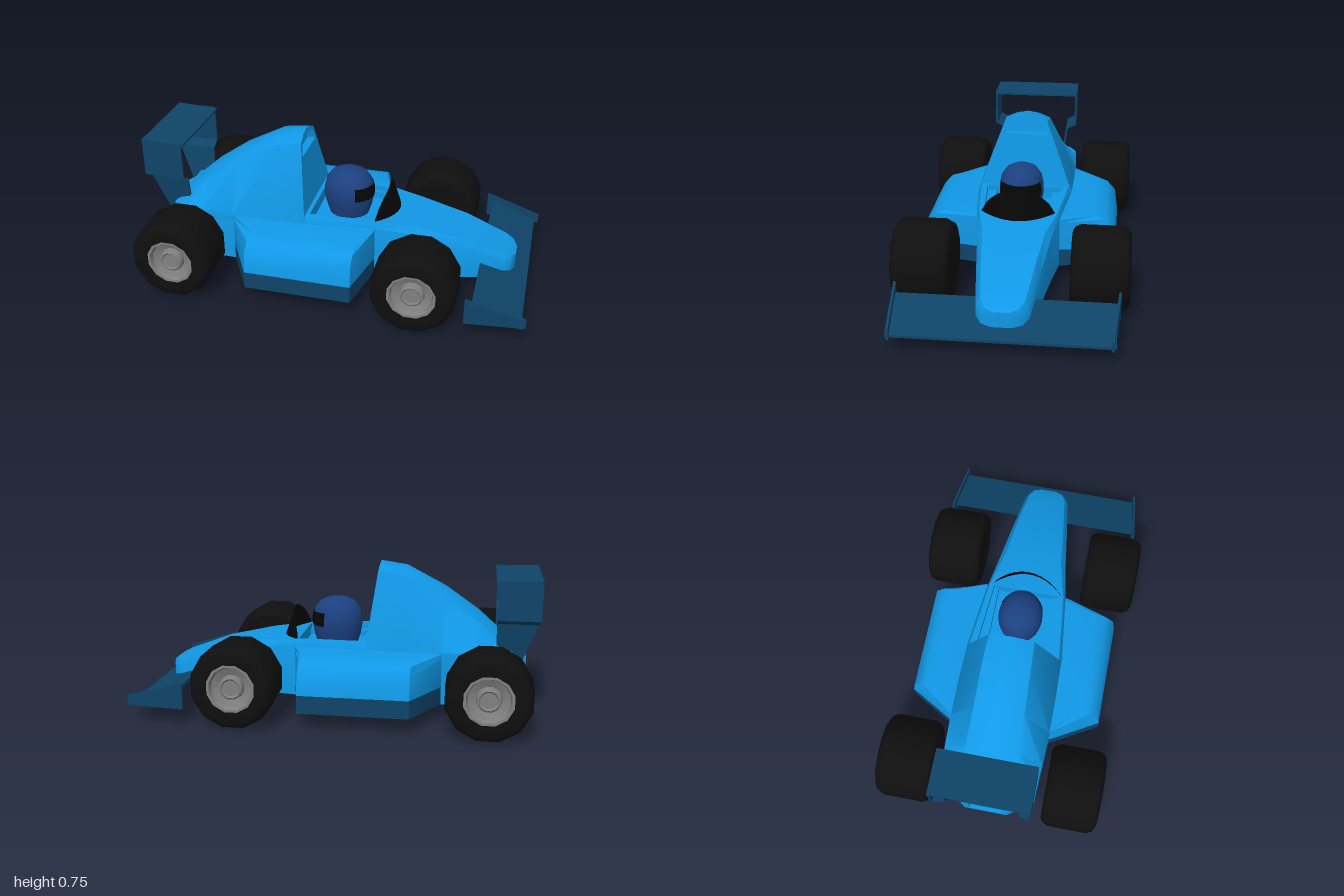
import * as THREE from 'three';
import { toCreasedNormals } from 'three/addons/utils/BufferGeometryUtils.js';

const paint = (color, extra = {}) => new THREE.MeshStandardMaterial({ color, ...extra });
const blue = paint(0x1098e6);
const darkBlue = paint(0x0e4468);
const rubber = paint(0x0f0f0f);
const metal = paint(0x808080);
const navy = paint(0x1c4080);
const glass = paint(0x060606, { side: THREE.DoubleSide });

function mesh(name, geometry, material, crease = 0.6) {
  const m = new THREE.Mesh(toCreasedNormals(geometry, crease), material);
  m.name = name;
  return m;
}

// Skin a list of equal-length rings of [x, y, z] points and close both ends.
function loft(rings) {
  const n = rings[0].length;
  const pos = rings.flat(2);
  const index = [];
  for (let i = 0; i < rings.length - 1; i++) {
    for (let j = 0; j < n; j++) {
      const k = (j + 1) % n;
      const a = i * n + j, b = a + n, c = (i + 1) * n + k, d = i * n + k;
      index.push(a, b, c, a, c, d);
    }
  }
  [0, rings.length - 1].forEach((r, end) => {
    const centre = pos.length / 3;
    for (let axis = 0; axis < 3; axis++) {
      pos.push(rings[r].reduce((sum, p) => sum + p[axis], 0) / n);
    }
    for (let j = 0; j < n; j++) {
      const a = r * n + j, b = r * n + (j + 1) % n;
      index.push(centre, end ? b : a, end ? a : b);
    }
  });
  const g = new THREE.BufferGeometry();
  g.setAttribute('position', new THREE.Float32BufferAttribute(pos, 3));
  g.setIndex(index);
  return g;
}

// Mirror a half section of [z, y] points; x may depend on y.
function mirrored(half, x) {
  const at = typeof x === 'function' ? x : () => x;
  const left = half.map(([z, y]) => [at(y), y, z]);
  const right = half.filter(([z]) => z > 0).reverse().map(([z, y]) => [at(y), y, -z]);
  return [...left, ...right];
}

// Side profile in x, y extruded across z, centred on z = 0.
function prism(points, width) {
  const shape = new THREE.Shape(points.map(([x, y]) => new THREE.Vector2(x, y)));
  const g = new THREE.ExtrudeGeometry(shape, { depth: width, bevelEnabled: false });
  return g.translate(0, 0, -width / 2);
}

// Tub and nose, with a recessed tail panel and a sunken cockpit
function makeBody() {
  // x, half width, bottom, shoulder, top, inner half width, inner height
  const stations = [
    [-0.925, 0.085, 0.11, 0.25, 0.27, 0.04, 0.27],
    [-0.94, 0.085, 0.11, 0.25, 0.27, 0.04, 0.27],
    [-0.94, 0.11, 0.08, 0.28, 0.30, 0.05, 0.30],
    [-0.85, 0.24, 0.08, 0.31, 0.33, 0.10, 0.33],
    [-0.53, 0.255, 0.08, 0.34, 0.36, 0.14, 0.36],
    [-0.13, 0.25, 0.08, 0.345, 0.375, 0.20, 0.375],
    [-0.13, 0.25, 0.08, 0.345, 0.375, 0.20, 0.31],
    [0.20, 0.212, 0.08, 0.345, 0.37, 0.175, 0.31],
    [0.20, 0.212, 0.08, 0.345, 0.37, 0.175, 0.37],
    [0.40, 0.18, 0.08, 0.315, 0.35, 0.10, 0.35],
    [0.64, 0.15, 0.08, 0.255, 0.30, 0.08, 0.30],
    [0.85, 0.122, 0.10, 0.19, 0.225, 0.06, 0.225],
    [0.89, 0.095, 0.115, 0.18, 0.208, 0.05, 0.208],
    [0.91, 0.045, 0.12, 0.175, 0.195, 0.025, 0.195],
  ];
  return loft(stations.map(([x, w, bottom, shoulder, top, wi, inner]) => mirrored(
    [[w, bottom], [w, shoulder], [(w * 2 + wi) / 3, top], [wi, top], [wi, inner]], x)));
}

// Engine cover, ending in a sloped front face with an air intake
function makeCover() {
  const slope = (y) => -0.2 + (0.755 - y) * 0.13;
  // x, base half width, crown half width, crown height
  const stations = [
    [-0.87, 0.20, 0.10, 0.345], [-0.8, 0.24, 0.14, 0.42], [-0.7, 0.25, 0.135, 0.51],
    [-0.53, 0.255, 0.125, 0.63], [-0.33, 0.255, 0.118, 0.735], [slope, 0.25, 0.112, 0.755],
  ];
  const rings = stations.map(([x, w, a, top]) => mirrored(
    [[w, 0.31], [w, 0.345], [a, Math.max(top - 0.035, 0.345)], [a * 0.5, top - 0.01], [0, top]], x));
  const intake = [[0.115, 0.65], [0.113, 0.66], [0.093, 0.71], [0.05, 0.727], [0, 0.735]];
  rings.push(mirrored(intake, slope), mirrored(intake, (y) => slope(y) - 0.04));
  return loft(rings);
}

// Side pod section for one side (s = 1 left, -1 right)
function makePod(s, section) {
  const rings = [[-0.53, 0.25], [-0.39, 0.5], [0.15, 0.5], [0.21, 0.225]].map(([x, outer]) => {
    const ring = section(outer, Math.max((outer - 0.25) * 4, 0)).map(([z, y]) => [x, y, z * s]);
    return s > 0 ? ring : ring.reverse();
  });
  return loft(rings);
}
const podTop = (o, k) => [[0.15, 0.17], [o, 0.17], [o - 0.015 * k, 0.27],
  [o - 0.06 * k, 0.32], [o - 0.12 * k, 0.337], [0.15, 0.345]];
const podSill = (o) => [[0.15, 0.08], [o, 0.08], [o, 0.17], [0.15, 0.17]];

function makeWheel() {
  const wheel = new THREE.Group();
  const lathe = (points) => new THREE.LatheGeometry(
    points.map(([r, y]) => new THREE.Vector2(r, y)), 12, Math.PI / 12).rotateX(Math.PI / 2);
  wheel.add(mesh('tyre', lathe([[0, -0.125], [0.12, -0.13], [0.175, -0.14], [0.197, -0.128],
    [0.21, -0.1], [0.21, 0.1], [0.197, 0.128], [0.175, 0.14], [0.122, 0.135], [0.118, 0.1]]), rubber, 0.7));
  wheel.add(mesh('rim', lathe([[0.122, 0.11], [0.122, 0.128], [0.108, 0.128], [0.1, 0.105],
    [0.062, 0.09], [0.058, 0.115], [0.048, 0.122], [0.04, 0.115], [0, 0.115]]), metal));
  return wheel;
}

// Curved, round-topped windscreen swept around the front of the cockpit
function makeWindscreen() {
  const g = new THREE.PlaneGeometry(2, 1, 16, 4);
  const p = g.attributes.position;
  for (let i = 0; i < p.count; i++) {
    const s = p.getX(i), v = p.getY(i) + 0.5;
    const bow = 1 - s * s;
    const height = 0.02 + 0.125 * Math.pow(bow, 0.75);
    p.setXYZ(i, 0.205 + bow * (0.095 - 0.05 * v), 0.36 + height * v, -s * (0.192 - 0.012 * v));
  }
  return g;
}

export function createModel() {
  const car = new THREE.Group();
  car.name = 'racingCar';
  car.add(mesh('body', makeBody(), blue), mesh('engineCover', makeCover(), blue, 0.5));
  car.add(mesh('windscreen', makeWindscreen(), glass, 1));

  // Driver helmet and visor
  const driver = new THREE.Group();
  driver.name = 'driver';
  const turn = (points, ...arc) => new THREE.LatheGeometry(
    points.map(([r, y]) => new THREE.Vector2(r, y)), ...arc);
  driver.add(mesh('helmet', turn([[0.1, 0.3], [0.122, 0.37], [0.13, 0.42], [0.129, 0.455],
    [0.118, 0.5], [0.092, 0.535], [0.05, 0.555], [0, 0.561]], 24), navy, 1));
  driver.add(mesh('visor', turn([[0.131, 0.415], [0.134, 0.43], [0.133, 0.455], [0.125, 0.485]],
    14, Math.PI / 2 - 1.15, 2.3), glass, 1));
  driver.position.x = 0.028;
  driver.scale.z = 0.88;
  car.add(driver);

  // Wing planes
  car.add(mesh('frontWing', prism([[0.98, 0.082], [0.98, 0.095], [0.74, 0.175], [0.74, 0.155]], 1.02), darkBlue));
  car.add(mesh('rearWing', prism([[-1, 0.695], [-0.78, 0.69], [-0.78, 0.7], [-0.9, 0.706], [-1, 0.71]], 0.48), darkBlue));

  for (const s of [1, -1]) {
    const side = s > 0 ? 'left' : 'right';
    car.add(mesh(side + 'SidePod', makePod(s, podTop), blue));
    car.add(mesh(side + 'Sill', makePod(s, podSill), darkBlue));

    // Front wing end plate, toed in
    car.add(mesh(side + 'FrontEndPlate', loft([[0.71, 0.08, 0.215, 0.521], [1, 0.082, 0.13, 0.494]].map(
      ([x, lo, hi, z]) => [[x, lo, z * s + 0.006], [x, hi, z * s + 0.006],
        [x, hi, z * s - 0.006], [x, lo, z * s - 0.006]])), darkBlue));

    // Rear wing end plate, stepping inwards to a strut
    const rows = [[0.3, -0.92, -0.79, 0.16], [0.485, -0.99, -0.79, 0.185],
      [0.512, -1, -0.79, 0.236], [0.705, -1, -0.79, 0.236]];
    car.add(mesh(side + 'RearEndPlate', loft(rows.map(([y, back, front, z]) => [
      [front, y, z * s - 0.005], [front, y, z * s + 0.005],
      [back, y, z * s + 0.005], [back, y, z * s - 0.005]])), darkBlue, 0.3));

    for (const [end, x] of [['Front', 0.46], ['Rear', -0.76]]) {
      const wheel = makeWheel();
      wheel.name = side + end + 'Wheel';
      wheel.position.set(x, 0.205, s * 0.426);
      if (s < 0) wheel.rotation.y = Math.PI;
      car.add(wheel);
    }
  }
  return car;
}
